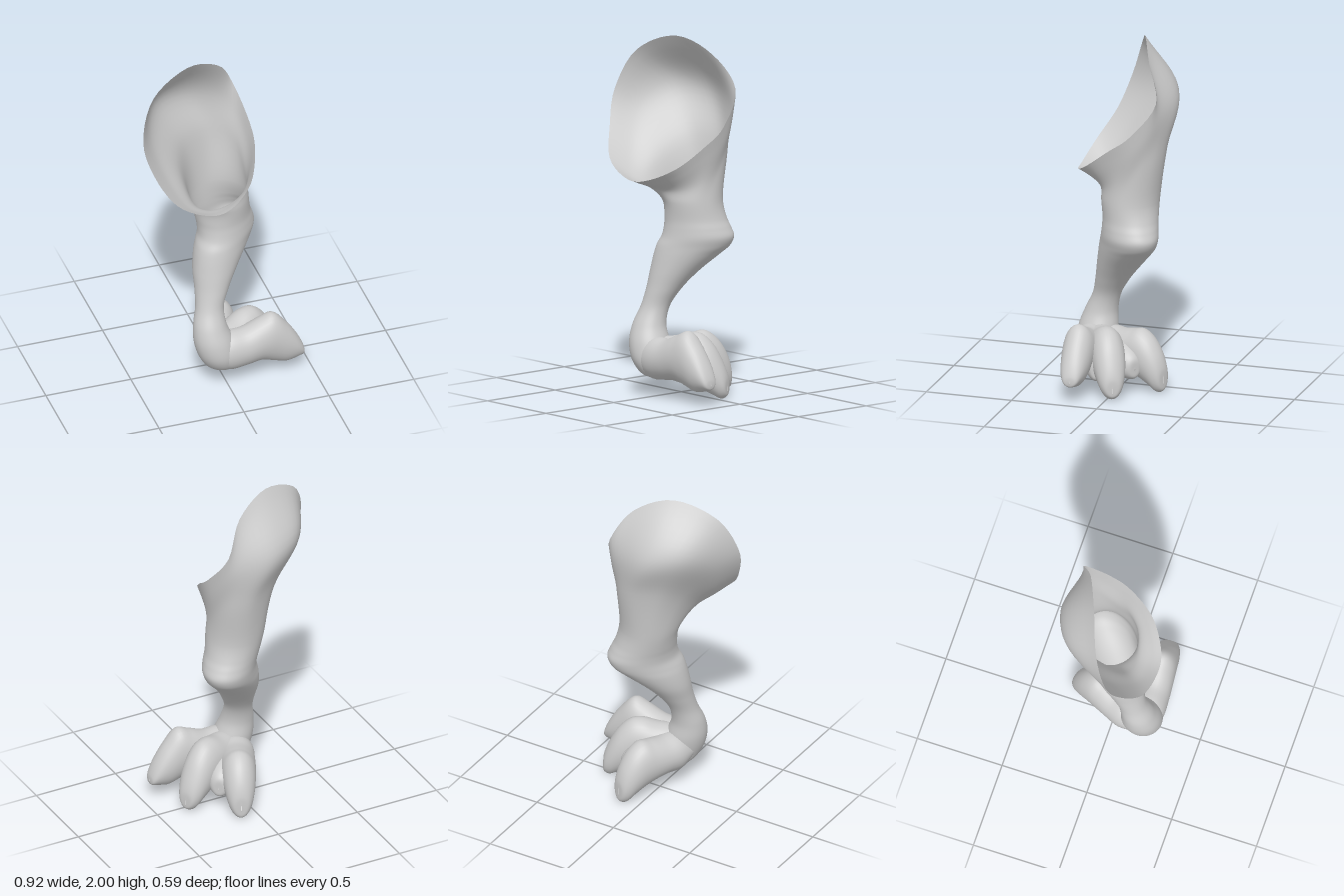
import * as THREE from 'three';

const N = 12; // control points per cross-section
const material = new THREE.MeshStandardMaterial({ color: 0xcccccc, side: THREE.DoubleSide });

// Smooth skin through closed cross-sections, splined around and along
function loft(name, rings, around, along) {
  const loops = rings.map((r) => {
    const c = new THREE.CatmullRomCurve3(r, true, 'catmullrom', 0.5);
    return Array.from({ length: around }, (_, i) => c.getPoint(i / around));
  });
  const pos = [], idx = [];
  const columns = loops[0].map((_, i) =>
    new THREE.CatmullRomCurve3(loops.map((l) => l[i]), false, 'centripetal'));
  for (let j = 0; j <= along; j++) {
    for (const c of columns) pos.push(...c.getPoint(j / along).toArray());
  }
  for (let j = 0; j < along; j++) {
    for (let i = 0; i < around; i++) {
      const a = j * around + i, b = j * around + (i + 1) % around;
      idx.push(a, a + around, b, b, a + around, b + around);
    }
  }
  const geo = new THREE.BufferGeometry();
  geo.setAttribute('position', new THREE.Float32BufferAttribute(pos, 3));
  geo.setIndex(idx);
  geo.computeVertexNormals();
  const mesh = new THREE.Mesh(geo, material);
  mesh.name = name;
  return mesh;
}

// Level ellipse whose long axis a follows the knee's diagonal (+x, -z)
function legRing([y, cx, cz, a, b]) {
  return Array.from({ length: N }, (_, i) => {
    const t = (i / N) * Math.PI * 2 + Math.PI / 4;
    const u = a * Math.cos(t) * Math.SQRT1_2, w = b * Math.sin(t) * Math.SQRT1_2;
    return new THREE.Vector3(cx + u + w, y, cz - u + w);
  });
}

// Heel, shank and knee: height, centre x, centre z, half-widths
const shank = [
  [0.1, -0.01, 0.16, 0.005, 0.005],
  [0.125, -0.025, 0.165, 0.075, 0.08],
  [0.2, -0.045, 0.178, 0.11, 0.108],
  [0.3, -0.07, 0.174, 0.115, 0.112],
  [0.4, -0.088, 0.16, 0.095, 0.093],
  [0.5, -0.078, 0.125, 0.082, 0.08],
  [0.6, -0.052, 0.083, 0.1, 0.097],
  [0.7, -0.018, 0.034, 0.138, 0.122],
  [0.8, 0.031, -0.018, 0.187, 0.139],
  [0.85, 0.058, -0.042, 0.207, 0.143],
  [0.9, 0.076, -0.057, 0.203, 0.147],
  [0.95, 0.07, -0.058, 0.188, 0.149],
  [1.0, 0.057, -0.056, 0.175, 0.152],
  [1.1, 0.038, -0.05, 0.17, 0.163],
];

// Thigh flaring out to the slanted open rim
const thigh = [
  [[0.197, 1.25, -0.08], [0.185, 1.22, 0.01], [0.12, 1.18, 0.09], [0.015, 1.165, 0.135],
    [-0.09, 1.17, 0.15], [-0.165, 1.2, 0.12], [-0.195, 1.27, 0.04], [-0.19, 1.36, -0.08],
    [-0.125, 1.42, -0.195], [0.01, 1.42, -0.257], [0.115, 1.4, -0.238], [0.177, 1.35, -0.175]],
  [[0.22, 1.42, -0.11], [0.208, 1.35, 0.015], [0.14, 1.26, 0.13], [0, 1.21, 0.215],
    [-0.12, 1.208, 0.232], [-0.235, 1.255, 0.192], [-0.318, 1.39, 0.09], [-0.36, 1.57, -0.03],
    [-0.287, 1.7, -0.195], [-0.11, 1.7, -0.285], [0.06, 1.66, -0.272], [0.175, 1.56, -0.227]],
  [[0.235, 1.53, -0.11], [0.225, 1.43, 0.02], [0.15, 1.31, 0.17], [0, 1.235, 0.27],
    [-0.14, 1.235, 0.29], [-0.31, 1.32, 0.26], [-0.415, 1.48, 0.17], [-0.458, 1.68, 0.095],
    [-0.37, 1.9, 0.01], [-0.14, 2, -0.08], [0.07, 1.91, -0.17], [0.18, 1.72, -0.245]],
].map((ring) => ring.map((p) => new THREE.Vector3(...p)));

// Toe: upright oval sections between two ground points, with top and bottom heights
const stations = [0, 0.18, 0.36, 0.54, 0.67, 0.81, 0.93, 0.99, 1];
const widths = [0.075, 0.097, 0.097, 0.093, 0.088, 0.079, 0.06, 0.036, 0.002];
function toe(name, girth, [x0, z0], [x1, z1], tops, bottoms) {
  const len = Math.hypot(x1 - x0, z1 - z0);
  const sx = -(z1 - z0) / len, sz = (x1 - x0) / len;
  const rings = stations.map((t, k) => {
    const mid = (tops[k] + bottoms[k]) / 2, h = (tops[k] - bottoms[k]) / 2;
    return Array.from({ length: N }, (_, i) => {
      const a = (i / N) * Math.PI * 2, s = girth * widths[k] * Math.cos(a);
      return new THREE.Vector3(
        x0 + (x1 - x0) * t + sx * s, mid + h * Math.sin(a), z0 + (z1 - z0) * t + sz * s);
    });
  });
  return loft(name, rings, 32, 48);
}

export function createModel() {
  const model = new THREE.Group();
  model.name = 'leg';
  model.add(loft('thighShankAndHeel', [...shank.map(legRing), ...thigh], 60, 112));
  model.add(toe('frontToe', 1, [-0.1, 0.193], [0.458, 0.175],
    [0.29, 0.34, 0.345, 0.385, 0.41, 0.335, 0.235, 0.16, 0.13],
    [0.16, 0.105, 0.11, 0.12, 0.095, 0.075, 0.09, 0.1, 0.12]));
  model.add(toe('middleToe', 1.1, [-0.08, 0.18], [0.345, -0.045],
    [0.29, 0.335, 0.35, 0.375, 0.368, 0.31, 0.21, 0.13, 0.08],
    [0.16, 0.1, 0.1, 0.08, 0.055, 0.03, 0.008, 0.025, 0.05]));
  model.add(toe('backToe', 1.1, [-0.07, 0.17], [0.11, -0.268],
    [0.28, 0.325, 0.325, 0.34, 0.35, 0.31, 0.23, 0.15, 0.1],
    [0.16, 0.1, 0.1, 0.085, 0.065, 0.035, 0.005, 0.02, 0.06]));
  // Webs filling the valleys between neighbouring toes
  const webTops = [0.28, 0.3, 0.3, 0.29, 0.28, 0.26, 0.23, 0.2, 0.15];
  const webBottoms = [0.16, 0.11, 0.105, 0.095, 0.085, 0.08, 0.085, 0.1, 0.14];
  model.add(toe('frontWeb', 0.8, [-0.07, 0.18], [0.28, 0.075], webTops, webBottoms));
  model.add(toe('backWeb', 1, [-0.07, 0.17], [0.175, -0.12], webTops, webBottoms));
  return model;
}
